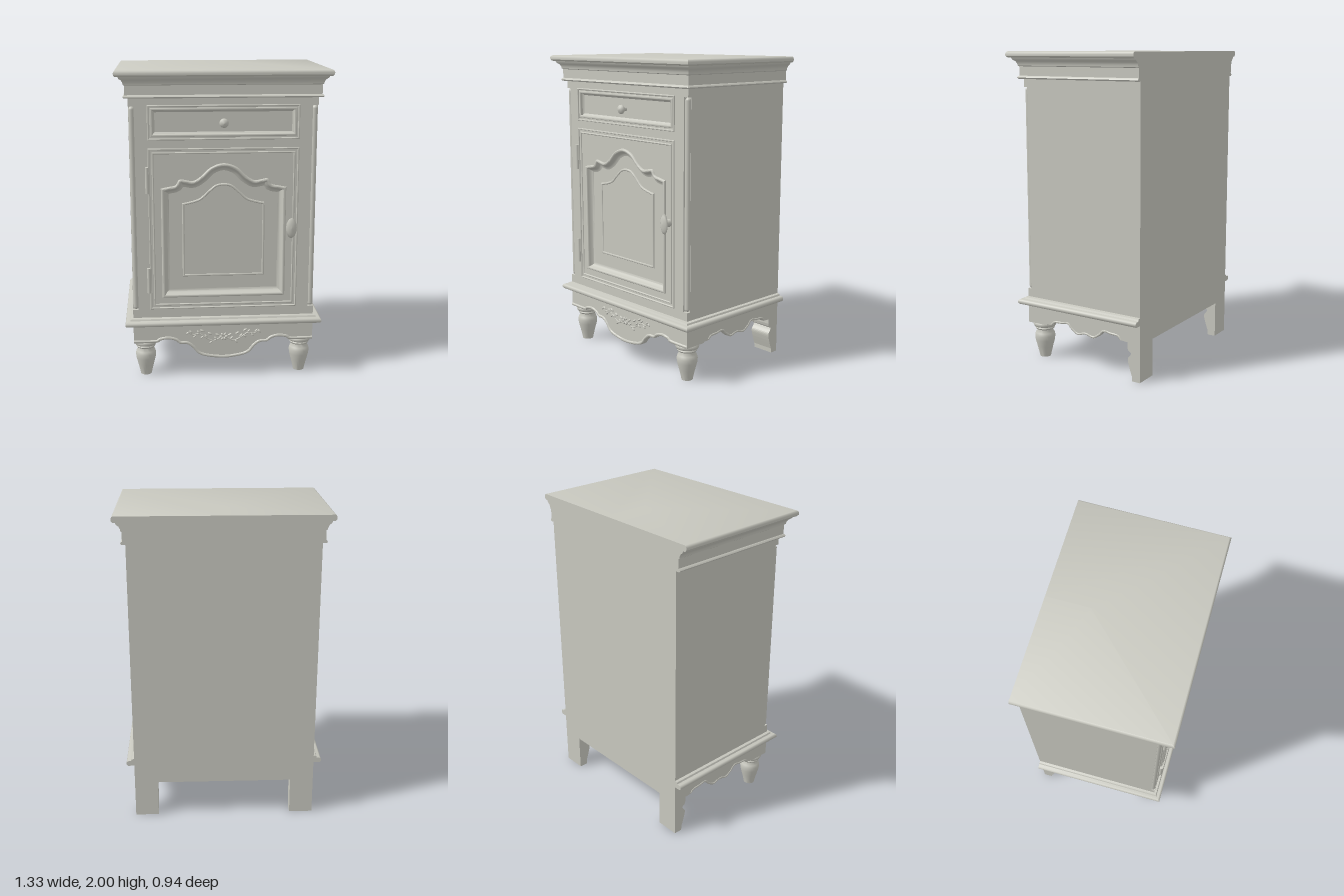
import * as THREE from 'three';
import { toCreasedNormals } from 'three/addons/utils/BufferGeometryUtils.js';

const W = 0.585, FRONT = 0.39, BACK = -0.47, FIELD = 0.365;
const paint = new THREE.MeshStandardMaterial({ color: 0xc8c8bf });
paint.name = 'warm grey paint';

const v2 = (pts) => pts.map(([x, y]) => new THREE.Vector2(x, y));
const smooth = (pts, n) => new THREE.SplineCurve(v2(pts)).getPoints(n).map((p) => [p.x, p.y]);
const mirrored = (half) => [...half, ...half.slice(0, -1).reverse().map(([x, y]) => [-x, y])];
const rect = (w, y0, y1) => [[-w, y0], [w, y0], [w, y1], [-w, y1]];

// Sweeps a profile of [outward offset, height] along a counter-clockwise path with mitred corners
function sweep(path, profile, closed = true) {
  const n = path.length, segs = closed ? n : n - 1;
  const normal = (i) => {
    const a = path[(i + n) % n], b = path[(i + 1) % n];
    const l = Math.hypot(b[0] - a[0], b[1] - a[1]);
    return [(b[1] - a[1]) / l, (a[0] - b[0]) / l];
  };
  const rows = path.map((p, i) => {
    const a = normal(!closed && i === 0 ? 0 : i - 1);
    const b = normal(!closed && i === n - 1 ? n - 2 : i);
    const k = 1 / Math.max(0.4, 1 + a[0] * b[0] + a[1] * b[1]);
    const m = [(a[0] + b[0]) * k, (a[1] + b[1]) * k];
    return profile.map(([d, h]) => [p[0] + m[0] * d, p[1] + m[1] * d, h]);
  });
  const pos = [];
  for (let i = 0; i < segs; i++) {
    const r = rows[i], s = rows[(i + 1) % n];
    for (let j = 0; j < profile.length - 1; j++) {
      pos.push(...r[j], ...s[j], ...s[j + 1], ...r[j], ...s[j + 1], ...r[j + 1]);
    }
  }
  const g = new THREE.BufferGeometry();
  g.setAttribute('position', new THREE.Float32BufferAttribute(pos, 3));
  return toCreasedNormals(g, 0.7);
}

// Half-round profile running from offset d0 inward to d1
function bead(d0, d1, h, r, n = 6) {
  return Array.from({ length: n + 1 }, (_, i) => {
    const t = (Math.PI * i) / n;
    return [(d0 + d1) / 2 + ((d0 - d1) / 2) * Math.cos(t), h + r * Math.sin(t)];
  });
}

function extrude(pts, z0, z1, holes = []) {
  const shape = new THREE.Shape(v2(pts));
  holes.forEach((h) => shape.holes.push(new THREE.Path(v2(h))));
  const g = new THREE.ExtrudeGeometry(shape, { depth: z1 - z0, bevelEnabled: false });
  return g.translate(0, 0, z0);
}

export function createModel() {
  const model = new THREE.Group();
  model.name = 'bedsideCabinet';
  const add = (name, geo, x = 0, y = 0, z = 0) => {
    const m = new THREE.Mesh(geo, paint);
    m.name = name;
    m.position.set(x, y, z);
    model.add(m);
    return m;
  };
  const box = (name, x0, x1, y0, y1, z0, z1) => add(name,
    new THREE.BoxGeometry(x1 - x0, y1 - y0, z1 - z0), (x0 + x1) / 2, (y0 + y1) / 2, (z0 + z1) / 2);

  // Carcass: core, full-width end blocks and back rail
  box('carcass', -W, W, 0.4, 1.84, BACK, FIELD);
  box('lowerRail', -W, W, 0.4, 0.47, FIELD - 0.02, FRONT);
  box('upperRail', -W, W, 1.78, 1.84, FIELD - 0.02, FRONT);
  box('backRail', -W, W, 0.24, 0.41, BACK, BACK + 0.03);

  // Crown and waist mouldings wrap three sides and are flat at the back
  const crown = [[0, 1.83], [0.024, 1.83], [0.03, 1.838], [0.025, 1.846], [0.019, 1.85], [0.019, 1.908],
    [0.026, 1.912], [0.028, 1.925], [0.036, 1.94], [0.05, 1.95], [0.055, 1.962], [0.07, 1.963],
    [0.079, 1.972], [0.08, 1.985], [0.076, 1.995], [0.068, 2], [-W, 2]];
  const waist = [[-W, 0.366], [0.04, 0.366], [0.048, 0.373], [0.05, 0.383], [0.047, 0.393], [0.038, 0.399],
    [0.02, 0.4], [0.015, 0.41], [0, 0.416], [-W, 0.416]];
  const plan = [[-W, -BACK], [-W, -FRONT], [W, -FRONT], [W, -BACK]];
  for (const [name, prof] of [['crownMoulding', crown], ['waistMoulding', waist]]) {
    add(name, sweep(plan, prof, false).rotateX(-Math.PI / 2));
    const right = prof.map(([d, h]) => [W + d, h]);
    const left = [...right].reverse().map(([x, h]) => [-x, h]);
    const cap = new THREE.ShapeGeometry(new THREE.Shape(v2([...right, ...left])));
    add(name + 'Back', cap.rotateY(Math.PI), 0, 0, BACK);
  }

  // Face frame with openings for the arched door panel and the drawer panel
  const archHalf = [[0.39, 1.265], [0.34, 1.275], [0.3, 1.285], [0.275, 1.32], [0.235, 1.315], [0.19, 1.31],
    [0.14, 1.34], [0.08, 1.395], [0, 1.42]];
  const arch = [[-0.39, 0.555], [0.39, 0.555], ...smooth(mirrored(archHalf), 64)];
  const drawer = rect(0.45, 1.595, 1.765);
  add('faceFrame', extrude(rect(0.55, 0.416, 1.835), FIELD - 0.01, FRONT, [arch, drawer]));

  // Door: edge beads, arched moulding with cove, raised centre panel
  add('doorEdge', sweep(rect(0.472, 0.473, 1.52), bead(0, -0.012, FRONT, 0.008)));
  add('doorInnerBead', sweep(rect(0.448, 0.497, 1.496), bead(0, -0.012, FRONT, 0.006)));
  add('archMoulding', sweep(arch, [...bead(0.004, -0.018, FRONT, 0.012), [-0.022, 0.383],
    [-0.027, 0.375], [-0.034, 0.369], [-0.045, FIELD]]));
  const panelHalf = [[0.26, 1.165], [0.21, 1.175], [0.15, 1.195], [0.1, 1.24], [0.05, 1.28], [0, 1.29]];
  const panel = [[-0.26, 0.685], [0.26, 0.685], ...smooth(mirrored(panelHalf), 40)];
  add('raisedPanel', extrude(panel, FIELD - 0.005, FIELD + 0.004));
  add('raisedPanelBead', sweep(panel, bead(0.002, -0.014, FIELD, 0.009)));

  // Drawer: edge bead and recessed panel moulding
  add('drawerEdge', sweep(rect(0.472, 1.57, 1.787), bead(0, -0.012, FRONT, 0.008)));
  add('drawerMoulding', sweep(drawer, [...bead(0.004, -0.012, FRONT, 0.006), [-0.014, 0.378], [-0.025, FIELD + 0.004]]));
  add('drawerPanel', extrude(drawer, FIELD - 0.005, FIELD + 0.005));

  // Drawer knob and oval door handle
  const knobProfile = v2([[0.014, 0], [0.012, 0.022], [0.022, 0.027], [0.029, 0.036], [0.028, 0.046], [0.018, 0.056], [0, 0.06]]);
  add('drawerKnob', new THREE.LatheGeometry(knobProfile, 24).rotateX(Math.PI / 2), 0, 1.675, FIELD + 0.003);
  add('handleStem', new THREE.CylinderGeometry(0.022, 0.025, 0.05, 20).rotateX(Math.PI / 2), 0.425, 1.01, 0.41);
  const handleProfile = v2([[0, 0], [0.6, 0], [1, 0.009], [0.75, 0.016], [0.4, 0.021], [0, 0.023]]);
  add('doorHandle', new THREE.LatheGeometry(handleProfile, 28).rotateX(Math.PI / 2), 0.425, 1.01, 0.425).scale.set(0.034, 0.065, 1);

  // Hinges
  for (const y of [0.67, 1.322]) {
    add('hinge', new THREE.CylinderGeometry(0.012, 0.012, 0.165, 14), -0.478, y, 0.399);
  }

  // Front apron with scalloped edge, and its edge bead
  const apronHalf = [[-0.585, 0.24], [-0.44, 0.24], [-0.41, 0.255], [-0.36, 0.262], [-0.315, 0.25], [-0.285, 0.228],
    [-0.24, 0.225], [-0.205, 0.2], [-0.165, 0.155], [-0.1, 0.133], [0, 0.122]];
  const apronEdge = smooth(mirrored(apronHalf), 80);
  add('frontApron', extrude([...apronEdge, [W, 0.37], [-W, 0.37]], 0.36, FRONT));
  add('frontApronBead', sweep(apronEdge, bead(0, -0.02, FRONT - 0.001, 0.009), false));

  // Carved floral spray on the apron
  const leaf = new THREE.SphereGeometry(1, 10, 6);
  const addLeaf = (x, y, rx, ry, a) => {
    const m = add('carvedLeaf', leaf, x, y, FRONT);
    m.scale.set(rx, ry, 0.009);
    m.rotation.z = a;
  };
  for (const s of [-1, 1]) {
    const stem = new THREE.CatmullRomCurve3([[0.02, 0.265], [0.07, 0.245], [0.12, 0.27], [0.16, 0.295], [0.2, 0.29], [0.235, 0.315]]
      .map(([x, y]) => new THREE.Vector3(s * x, y, FRONT)));
    add('carvedStem', new THREE.TubeGeometry(stem, 30, 0.005, 6));
    for (let i = 1; i < 9; i++) {
      const p = stem.getPoint(i / 8);
      const side = i % 2 ? 1 : -1;
      addLeaf(p.x, p.y + side * 0.012, 0.014, 0.006, s * side * 0.8);
    }
    for (const [x, y] of [[0.04, 0.285], [0.09, 0.295], [0.14, 0.315]]) addLeaf(s * x, y, 0.016, 0.007, s * 0.5);
  }
  for (let i = 0; i < 6; i++) {
    const a = (i * Math.PI) / 3;
    addLeaf(0.017 * Math.cos(a), 0.272 + 0.017 * Math.sin(a), 0.012, 0.008, a);
  }

  // Parts repeated on both sides
  const scallopHalf = [[0.26, 0.25], [0.24, 0.268], [0.19, 0.272], [0.14, 0.278], [0.11, 0.25], [0.06, 0.222], [0, 0.235]];
  const scallops = smooth(mirrored(scallopHalf).reverse(), 60).map(([d, y]) => [-0.065 + d, y]);
  const sideEdge = [[BACK, 0.24], ...scallops, [FRONT, 0.24]];
  const legProfile = v2([[0, 0], [0.036, 0], [0.04, 0.02], [0.052, 0.07], [0.064, 0.115], [0.067, 0.145], [0.062, 0.165], [0.05, 0.182],
    [0.05, 0.188], [0.06, 0.192], [0.064, 0.2], [0.06, 0.208], [0.07, 0.212], [0.076, 0.224], [0.074, 0.236], [0.066, 0.245]]);
  const bracket = [[BACK, 0], [-0.415, 0], ...smooth([[-0.413, 0.03], [-0.39, 0.1], [-0.383, 0.14], [-0.4, 0.165], [-0.408, 0.18]], 14),
    [-0.385, 0.195], [-0.38, 0.215], [-0.38, 0.25], [BACK, 0.25]];
  for (const s of [-1, 1]) {
    // z,y outlines are turned to face outward on this side
    const turn = (pts) => pts.map(([z, y]) => [-s * z, y]);
    const outward = (g) => g.rotateY((s * Math.PI) / 2);
    add('sideApron', outward(extrude(turn([...sideEdge, [FRONT, 0.37], [BACK, 0.37]]), W - 0.03, W)));
    const edge = turn(scallops);
    if (s > 0) edge.reverse();
    add('sideApronBead', outward(sweep(edge, bead(0, -0.014, W - 0.001, 0.005), false)));
    add('backLeg', outward(extrude(turn(bracket), 0.435, W)));
    add('frontLeg', toCreasedNormals(new THREE.LatheGeometry(legProfile, 32), 0.8), s * 0.51, 0, 0.315);
    box('legBlock', s * 0.51 - 0.074, s * 0.51 + 0.074, 0.24, 0.37, 0.241, FRONT - 0.001);
    // Rounded corner bead set into the front corner
    add('cornerBead', new THREE.CapsuleGeometry(0.018, 1.27, 6, 16), s * 0.566, 1.125, 0.371);
  }
  return model;
}
